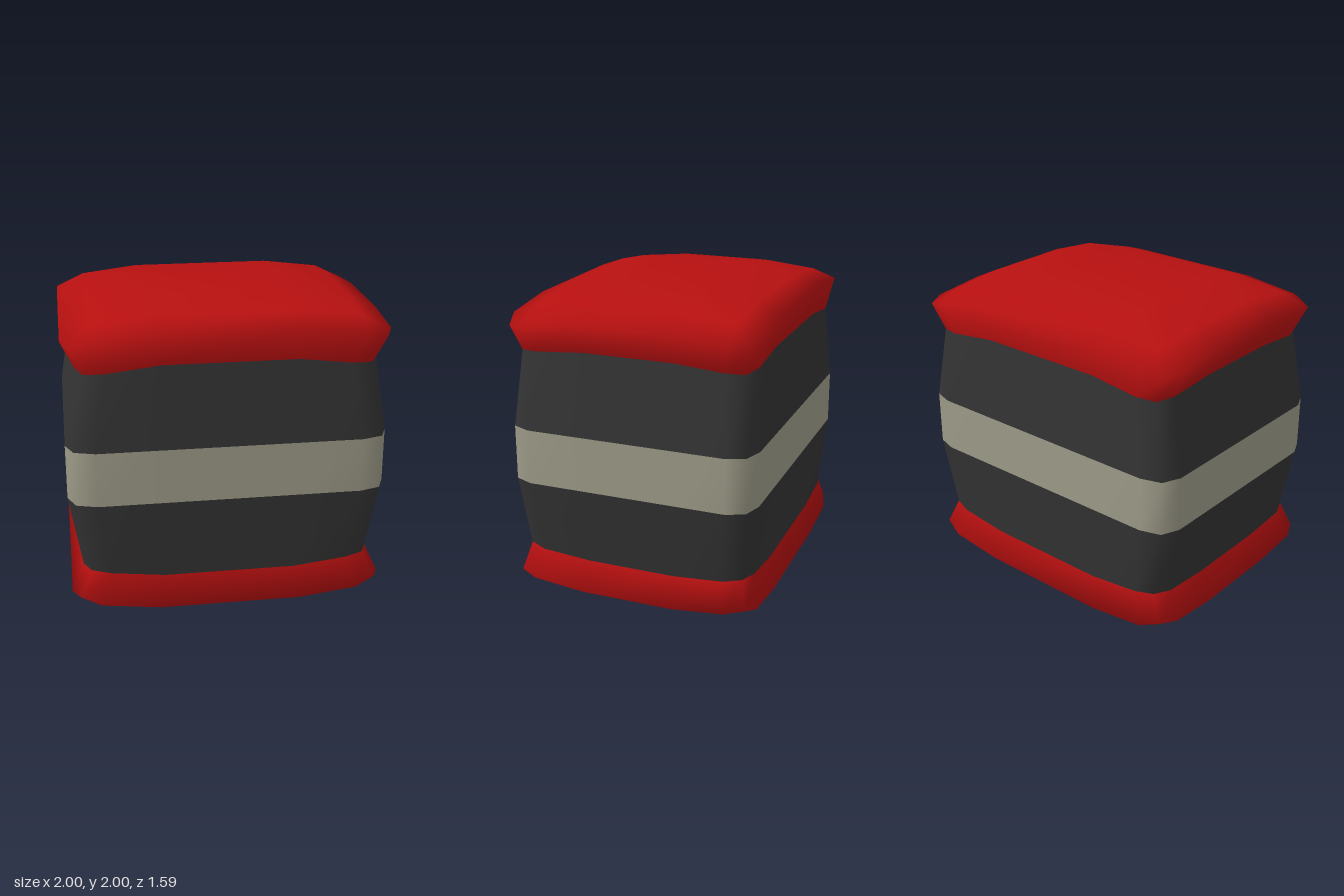
import * as THREE from 'three';
import { mergeVertices } from 'three/addons/utils/BufferGeometryUtils.js';

// One quadrant of the rounded rectangular footprint: [x, z, seam height]
const QUADRANT = [
  [1, 0.3, 1.685], [1, 0.64, 1.66], [0.95, 0.755, 1.65], [0.82, 0.795, 1.66], [0.45, 0.795, 1.7],
];
const REVERSED = [...QUADRANT].reverse();
const FOOTPRINT = [
  ...QUADRANT,
  ...REVERSED.map(([x, z, s]) => [-x, z, s]),
  ...QUADRANT.map(([x, z, s]) => [-x, -z, s]),
  ...REVERSED.map(([x, z, s]) => [x, -z, s]),
];

// Piecewise-linear drop of the pillow dome away from its flat centre
function drop(v, inner, middle, outer, dropMiddle, dropOuter) {
  const a = Math.abs(v);
  if (a <= inner) return 0;
  if (a <= middle) return dropMiddle * (a - inner) / (middle - inner);
  return dropMiddle + (dropOuter - dropMiddle) * (a - middle) / (outer - middle);
}
const domeHeight = (x, z) =>
  2 - drop(x, 0.45, 0.82, 1, 0.045, 0.13) - drop(z, 0.3, 0.64, 0.795, 0.035, 0.09);

// Cross-section rings
const clamp = THREE.MathUtils.clamp;
const levelRing = (y) => FOOTPRINT.map(([x, z]) => [x, y, z]);
const seamRing = () => FOOTPRINT.map(([x, z, s]) => [x * 0.92, s, z * 0.95]);
const domeRing = (hx, hz) => FOOTPRINT.map(([px, pz]) => {
  const x = clamp(px, -hx, hx), z = clamp(pz, -hz, hz);
  return [x, domeHeight(x, z), z];
});
const mirrorRings = (rings) =>
  [...rings].reverse().map((ring) => ring.map(([x, y, z]) => [x, 2 - y, z]));

// Skin a stack of rings, listed from bottom to top, with smooth normals
function loft(rings) {
  const n = FOOTPRINT.length, index = [];
  for (let r = 0; r < rings.length - 1; r++) {
    for (let i = 0; i < n; i++) {
      const a = r * n + i, b = r * n + (i + 1) % n;
      index.push(a, a + n, b, b, a + n, b + n);
    }
  }
  const geometry = new THREE.BufferGeometry();
  geometry.setAttribute('position', new THREE.Float32BufferAttribute(rings.flat(2), 3));
  geometry.setIndex(index);
  const merged = mergeVertices(geometry, 1e-4);
  merged.computeVertexNormals();
  return merged;
}

export function createModel() {
  const material = (name, color) => {
    const m = new THREE.MeshStandardMaterial({ color });
    m.name = name;
    return m;
  };
  const red = material('red', 0xb81010);
  const charcoal = material('charcoal', 0x333333);
  const stone = material('stone', 0x9c9a87);

  const group = new THREE.Group();
  group.name = 'paddedBlock';
  const add = (name, rings, mat) => {
    const mesh = new THREE.Mesh(loft(rings), mat);
    mesh.name = name;
    group.add(mesh);
  };

  // Domed cushions, flaring from the seam to the rim and closing at the centre
  const cushion = [
    seamRing(), domeRing(1, 0.795), domeRing(0.82, 0.64), domeRing(0.45, 0.3), domeRing(0, 0),
  ];
  add('topCushion', cushion, red);
  add('bottomCushion', mirrorRings(cushion), red);

  // Tapered dark sides
  const side = [levelRing(1.175), seamRing()];
  add('upperSide', side, charcoal);
  add('lowerSide', mirrorRings(side), charcoal);

  // Middle band
  add('middleBand', [levelRing(0.825), levelRing(1.175)], stone);

  return group;
}
